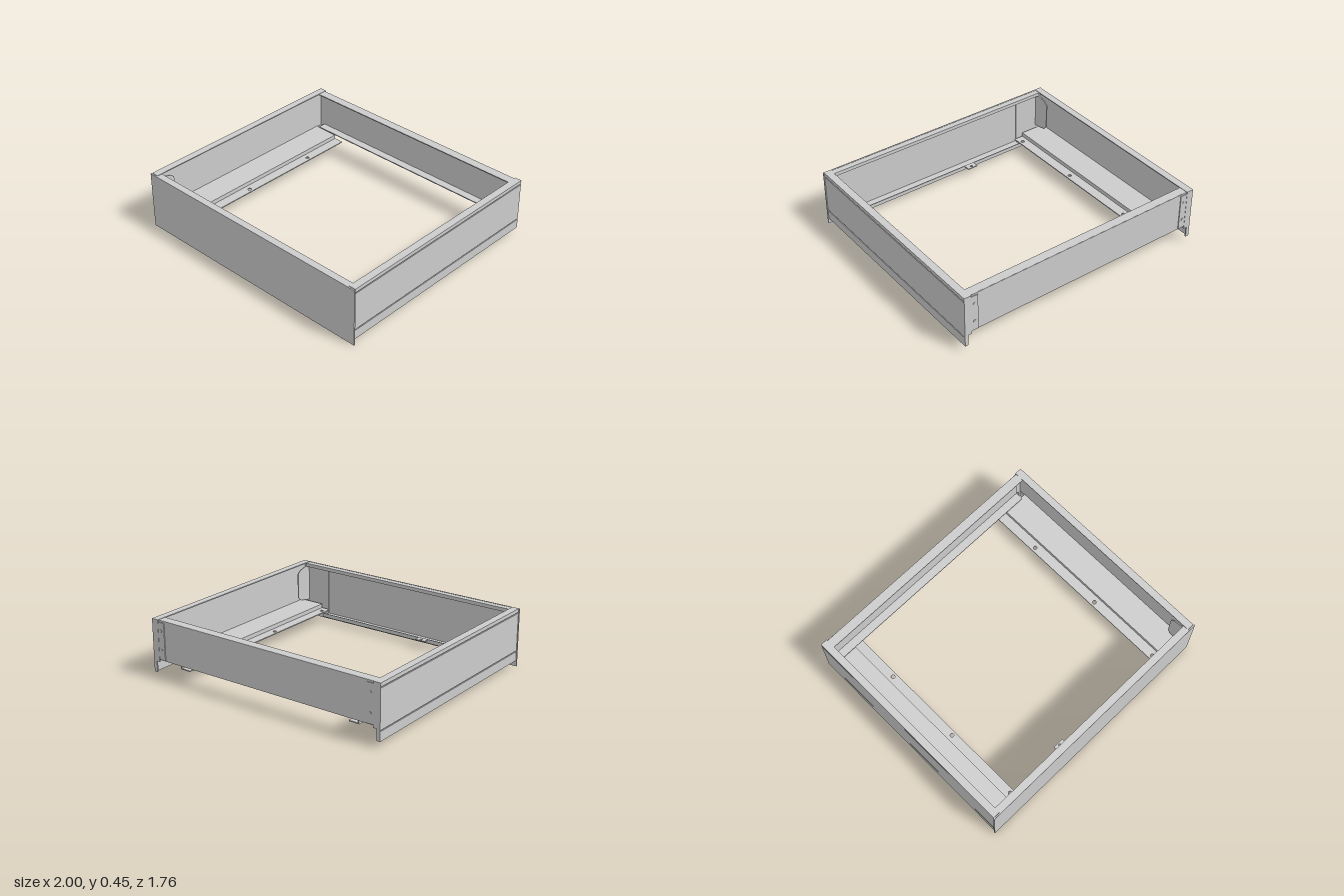
import * as THREE from 'three';

const metal = new THREE.MeshStandardMaterial({ color: 0xcccccc, flatShading: true });
const T = 0.008; // sheet thickness

// Box given by its extents on each axis
function sheet(parent, name, [x0, x1], [y0, y1], [z0, z1]) {
  const mesh = new THREE.Mesh(new THREE.BoxGeometry(Math.abs(x1 - x0), y1 - y0, z1 - z0), metal);
  mesh.position.set((x0 + x1) / 2, (y0 + y1) / 2, (z0 + z1) / 2);
  mesh.name = name;
  parent.add(mesh);
}

// Horizontal plate with round holes, its top at height y
function drilledPlate(parent, name, [x0, x1], [z0, z1], y, holes, radius) {
  const shape = new THREE.Shape([[x0, z0], [x1, z0], [x1, z1], [x0, z1]].map(p => new THREE.Vector2(...p)));
  for (const [x, z] of holes) {
    shape.holes.push(new THREE.Path().absarc(x, z, radius, 0, Math.PI * 2, true));
  }
  const geometry = new THREE.ExtrudeGeometry(shape, { depth: T, bevelEnabled: false, curveSegments: 8 });
  geometry.rotateX(Math.PI / 2);
  const mesh = new THREE.Mesh(geometry, metal);
  mesh.name = name;
  mesh.position.y = y;
  parent.add(mesh);
}

function createSide(s) {
  const side = new THREE.Group();
  side.name = s > 0 ? 'leftSide' : 'rightSide';
  const X = (a, b) => [s * a, s * b];
  const length = [-0.87, 0.868];

  // Outer wall in three bands separated by shallow grooves
  for (const band of [[0.045, 0.116], [0.124, 0.416], [0.424, 0.452]]) {
    sheet(side, 'sideWall', X(0.985, 0.995), band, length);
  }
  for (const y of [0.12, 0.42]) {
    sheet(side, 'sideGroove', X(0.982, 0.988), [y - 0.005, y + 0.005], length);
  }
  sheet(side, 'sideTopFlange', X(0.94, 0.99), [0.444, 0.452], length);

  // Stepped floor rail with drilled lower ledge
  sheet(side, 'floorRail', X(0.78, 0.985), [0.122, 0.13], [-0.82, 0.83]);
  sheet(side, 'railStep', X(0.78, 0.788), [0.09, 0.13], [-0.82, 0.83]);
  drilledPlate(side, 'railLedge', [Math.min(s * 0.704, s * 0.784), Math.max(s * 0.704, s * 0.784)],
    [-0.82, 0.83], 0.098, [-0.455, 0.17, 0.765].map(z => [s * 0.735, z]), 0.014);

  // Rear post and the tab screwed to the back panel
  sheet(side, 'rearPost', X(0.94, 0.995), [0.13, 0.452], [-0.88, -0.87]);
  sheet(side, 'rearPostFoot', X(0.968, 0.995), [0.045, 0.13], [-0.88, -0.87]);
  sheet(side, 'rearTab', X(0.885, 0.945), [0.15, 0.435], [-0.878, -0.87]);
  for (const y of [0.225, 0.372]) {
    const screw = new THREE.Mesh(new THREE.CylinderGeometry(0.01, 0.01, 0.006, 12), metal);
    screw.name = 'rearScrew';
    screw.rotation.x = Math.PI / 2;
    screw.position.set(s * 0.915, y, -0.879);
    side.add(screw);
  }

  // Angle bracket joining side and front
  sheet(side, 'cornerPlate', X(0.74, 0.945), [0.045, 0.44], [0.862, 0.871]);
  const leg = new THREE.Shape([[0.865, 0.13], [0.865, 0.435], [0.75, 0.405], [0.72, 0.38], [0.72, 0.18], [0.75, 0.15]]
    .map(([z, y]) => new THREE.Vector2(-z, y)));
  const legMesh = new THREE.Mesh(new THREE.ExtrudeGeometry(leg, { depth: T, bevelEnabled: false }), metal);
  legMesh.name = 'cornerLeg';
  legMesh.rotation.y = Math.PI / 2;
  legMesh.position.x = s * 0.94 - T / 2;
  side.add(legMesh);
  return side;
}

function createFront() {
  const front = new THREE.Group();
  front.name = 'front';
  sheet(front, 'frontPanel', [-1, 1], [0, 0.45], [0.87, 0.88]);
  sheet(front, 'frontTopFlange', [-0.94, 0.94], [0.44, 0.448], [0.825, 0.875]);
  sheet(front, 'frontTopLip', [-0.94, 0.94], [0.42, 0.448], [0.825, 0.831]);
  // Bottom channel with its small drilled tab
  sheet(front, 'frontBottomFlange', [-0.74, 0.74], [0.04, 0.048], [0.79, 0.875]);
  sheet(front, 'frontBottomLip', [-0.74, 0.74], [0.04, 0.07], [0.79, 0.797]);
  drilledPlate(front, 'frontTab', [-0.27, -0.185], [0.742, 0.797], 0.07, [[-0.228, 0.762]], 0.01);
  return front;
}

function createBack() {
  const back = new THREE.Group();
  back.name = 'back';
  sheet(back, 'backPanel', [-0.94, 0.94], [0.145, 0.448], [-0.872, -0.864]);
  sheet(back, 'backTopFlange', [-0.94, 0.94], [0.441, 0.449], [-0.87, -0.802]);
  sheet(back, 'backBottomFlange', [-0.94, 0.94], [0.142, 0.15], [-0.87, -0.802]);
  return back;
}

export function createModel() {
  const model = new THREE.Group();
  model.name = 'drawerFrame';
  model.add(createFront(), createBack(), createSide(1), createSide(-1));
  return model;
}
